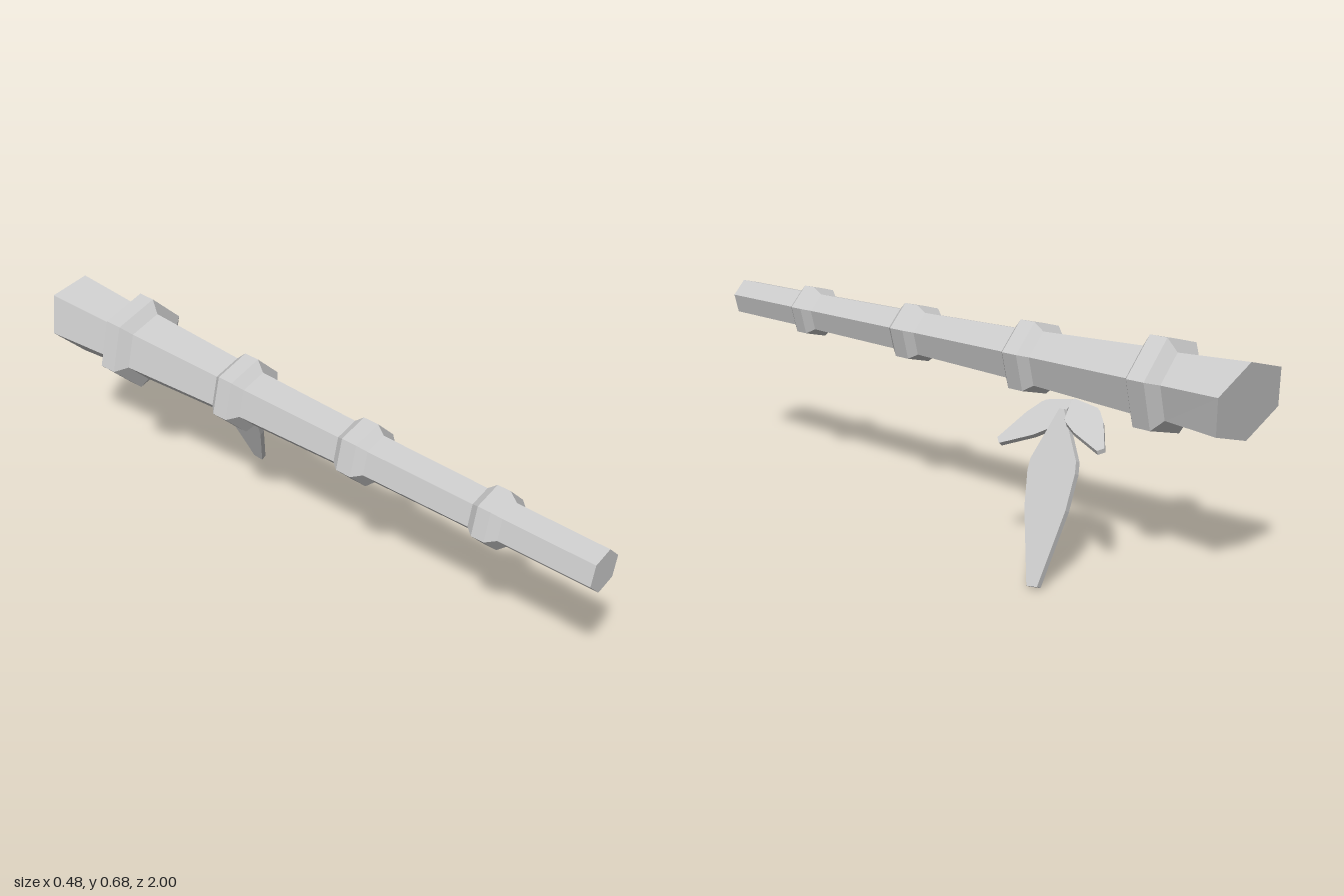
import * as THREE from 'three';

const CX = -0.102, CY = 0.536;

function grey() {
  return new THREE.MeshStandardMaterial({ color: 0xcccccc, flatShading: true });
}

// Six-sided tapering cane with raised joints, front end flat, rear end cut at a slant
function makeCane() {
  const profile = [[0, -0.96], [0.12, -0.96]];
  // each joint: rear z, front z, stem radius behind, ring radius, stem radius in front
  const joints = [
    [-0.755, -0.645, 0.106, 0.145, 0.107],
    [-0.300, -0.195, 0.090, 0.115, 0.084],
    [0.160, 0.265, 0.074, 0.095, 0.071],
    [0.620, 0.715, 0.066, 0.087, 0.064],
  ];
  for (const [z0, z1, rBack, rRing, rFront] of joints) {
    profile.push([rBack, z0], [rRing, z0 + 0.027], [rRing, z1 - 0.027], [rFront, z1]);
  }
  profile.push([0.062, 1], [0, 1]);

  const geo = new THREE.LatheGeometry(
    profile.map(([r, z]) => new THREE.Vector2(r, z)), 6, Math.PI / 4);
  geo.rotateX(Math.PI / 2);

  // slanted cut, longest toward the upper right-hand corner
  const p = geo.attributes.position;
  for (let i = 0; i < p.count; i++) {
    if (p.getZ(i) < -0.9) {
      const d = (p.getY(i) - p.getX(i)) * Math.SQRT1_2;
      p.setZ(i, -0.96 - 0.333 * d);
    }
  }
  const flat = geo.toNonIndexed();
  flat.computeVertexNormals();
  const mesh = new THREE.Mesh(flat, grey());
  mesh.name = 'cane';
  mesh.position.set(CX, CY, 0);
  return mesh;
}

// Thin slab leaf running from base to tip, its faces tilted only about z
function makeLeaf(name, base, tip, width, thickness) {
  const a = new THREE.Vector3(...base);
  const axis = new THREE.Vector3(...tip).sub(a);
  const length = axis.length();
  axis.normalize();
  const normal = new THREE.Vector3(-axis.y, axis.x, 0).normalize();
  const side = new THREE.Vector3().crossVectors(axis, normal);

  // [fraction along the leaf, fraction of the half width]
  const half = [[0, 0.1], [0.29, 0.96], [0.36, 1], [0.57, 0.86], [1, 0.22]];
  const outline = [
    ...half.map(([t, w]) => new THREE.Vector2(-w * width / 2, t * length)),
    ...half.slice().reverse().map(([t, w]) => new THREE.Vector2(w * width / 2, t * length)),
  ];
  const geo = new THREE.ExtrudeGeometry(new THREE.Shape(outline), {
    depth: thickness, bevelEnabled: false,
  });
  geo.translate(0, 0, -thickness / 2);
  // side x axis has to equal the normal for a right-handed frame
  const frame = new THREE.Matrix4().makeBasis(side.negate(), axis, normal);
  if (frame.determinant() < 0) frame.makeBasis(side.negate(), axis, normal);
  frame.setPosition(a);
  geo.applyMatrix4(frame);
  const mesh = new THREE.Mesh(geo, grey());
  mesh.name = name;
  return mesh;
}

export function createModel() {
  const group = new THREE.Group();
  group.name = 'bambooCane';
  group.add(makeCane());
  group.add(makeLeaf('largeLeaf', [0.022, 0.445, -0.455], [0.233, 0.007, -0.53], 0.158, 0.018));
  group.add(makeLeaf('frontLeaf', [-0.012, 0.462, -0.465], [0.09, 0.334, -0.285], 0.095, 0.017));
  group.add(makeLeaf('rearLeaf', [-0.012, 0.464, -0.465], [0.145, 0.4, -0.677], 0.098, 0.013));
  return group;
}
